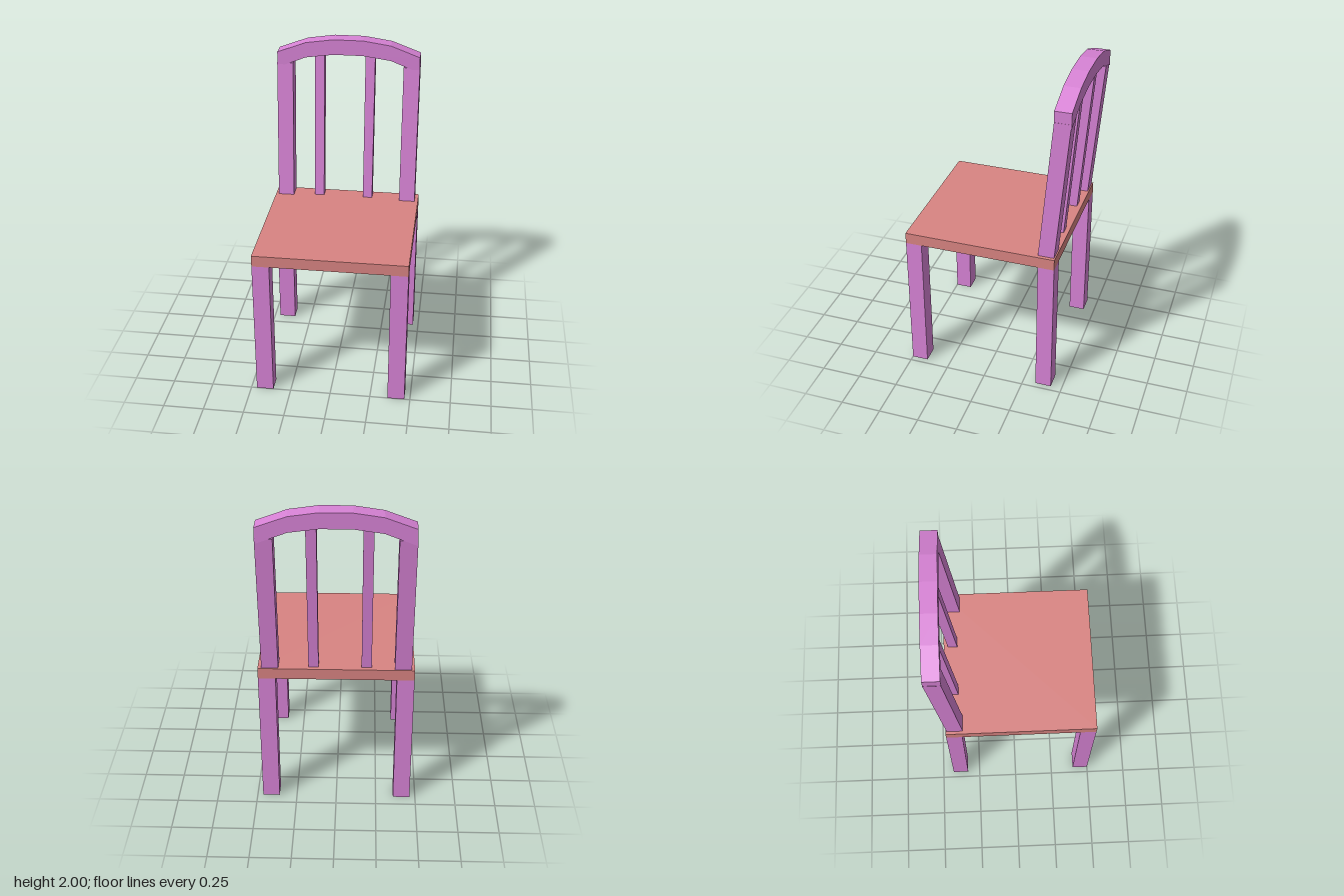
import * as THREE from 'three';

const wood = new THREE.MeshStandardMaterial({ color: 0xd883d6, flatShading: true });
const seatColor = new THREE.MeshStandardMaterial({ color: 0xd98482, flatShading: true });

// Box given by its minimum and maximum corners; lean shifts its top along z
function block(name, [x0, y0, z0], [x1, y1, z1], material, lean = 0) {
  const geometry = new THREE.BoxGeometry(x1 - x0, y1 - y0, z1 - z0);
  const pos = geometry.attributes.position;
  for (let i = 0; i < pos.count; i++) {
    if (pos.getY(i) > 0) pos.setZ(i, pos.getZ(i) + lean);
  }
  geometry.computeVertexNormals();
  const mesh = new THREE.Mesh(geometry, material);
  mesh.position.set((x0 + x1) / 2, (y0 + y1) / 2, (z0 + z1) / 2);
  mesh.name = name;
  return mesh;
}

export function createModel() {
  const chair = new THREE.Group();
  chair.name = 'chair';

  // Seat board
  chair.add(block('seat', [-0.465, 0.89, -0.43], [0.465, 0.96, 0.5], seatColor));

  // Four square legs
  for (const [side, x] of [['right', -0.465], ['left', 0.36]]) {
    for (const [end, z] of [['Front', 0.4], ['Back', -0.43]]) {
      chair.add(block(`${side}${end}Leg`, [x, 0, z], [x + 0.105, 0.89, z + 0.1], wood));
    }
  }

  // Leaning back posts and slimmer slats
  for (const [side, postX, slatX] of [['right', -0.447, -0.21], ['left', 0.343, 0.105]]) {
    chair.add(block(`${side}BackPost`, [postX, 0.96, -0.422], [postX + 0.1, 1.84, -0.324], wood, -0.076));
    chair.add(block(`${side}BackSlat`, [slatX, 0.96, -0.403], [slatX + 0.06, 1.91, -0.345], wood, -0.076));
  }

  // Faceted arched top rail
  const outer = [[-0.445, 1.908], [-0.265, 1.975], [-0.095, 2], [0.09, 2], [0.262, 1.975], [0.442, 1.908]];
  const inner = [[0.442, 1.81], [0.262, 1.88], [0.09, 1.904], [-0.095, 1.904], [-0.265, 1.88], [-0.445, 1.81]];
  const arch = new THREE.Shape([...outer, ...inner].map(([x, y]) => new THREE.Vector2(x, y)));
  const rail = new THREE.Mesh(
    new THREE.ExtrudeGeometry(arch, { depth: 0.1, bevelEnabled: false }), wood);
  rail.position.z = -0.499;
  rail.name = 'topRail';
  chair.add(rail);

  return chair;
}
